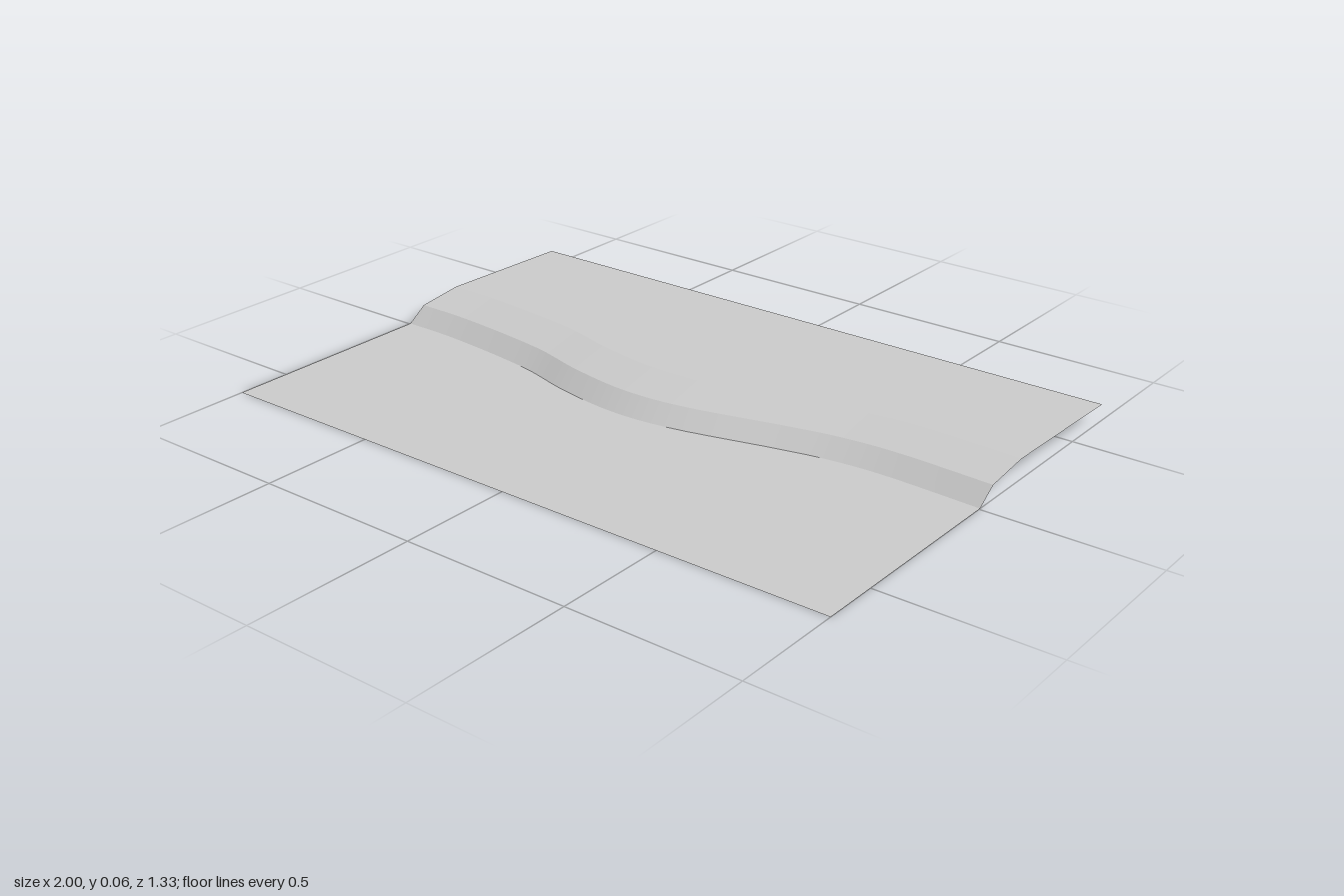
import * as THREE from 'three';

const SEGMENTS = 40;
const HALF_DEPTH = 0.665;

// Plan curve as [x, z] points, sampled from left edge to right edge
function planCurve(points, y) {
  const curve = new THREE.SplineCurve(points.map(([x, z]) => new THREE.Vector2(x, z)));
  return curve.getPoints(SEGMENTS).map((p) => new THREE.Vector3(p.x, y, p.y));
}

// Ruled strip between a front line and a back line, facing up
function strip(name, front, back, material) {
  const positions = [];
  const index = [];
  front.forEach((p, i) => {
    positions.push(...p.toArray(), ...back[i].toArray());
    if (i === SEGMENTS) return;
    const a = i * 2;
    index.push(a, a + 2, a + 1, a + 1, a + 2, a + 3);
  });
  const geometry = new THREE.BufferGeometry();
  geometry.setAttribute('position', new THREE.Float32BufferAttribute(positions, 3));
  geometry.setIndex(index);
  geometry.computeVertexNormals();
  const mesh = new THREE.Mesh(geometry, material);
  mesh.name = name;
  return mesh;
}

export function createModel() {
  const group = new THREE.Group();
  group.name = 'terrain';
  const ground = new THREE.MeshStandardMaterial({ color: 0xcccccc, side: THREE.DoubleSide });
  ground.name = 'light grey ground';

  // Winding foot of the bank, its upper edge and the crest behind
  const toePoints = [[-1, -0.004], [-0.8, 0.0], [-0.5, 0.035], [-0.3, 0.086], [-0.1, 0.115],
    [0.1, 0.1], [0.4, 0.027], [0.55, -0.003], [0.72, -0.015], [1, -0.005]];
  const shifted = (dz) => toePoints.map(([x, z]) => [x, z + dz]);
  const toe = planCurve(toePoints, 0);
  const bankTop = planCurve(shifted(-0.061), 0.042);
  const crest = planCurve(shifted(-0.204), 0.06);

  // Straight front and back borders
  const frontEdge = toe.map((p) => new THREE.Vector3(p.x, 0, HALF_DEPTH));
  const backEdge = toe.map((p) => new THREE.Vector3(p.x, 0.051, -HALF_DEPTH));

  group.add(
    strip('lowerGround', frontEdge, toe, ground),
    strip('bank', toe, bankTop, ground),
    strip('shoulder', bankTop, crest, ground),
    strip('upperGround', crest, backEdge, ground),
  );
  return group;
}
